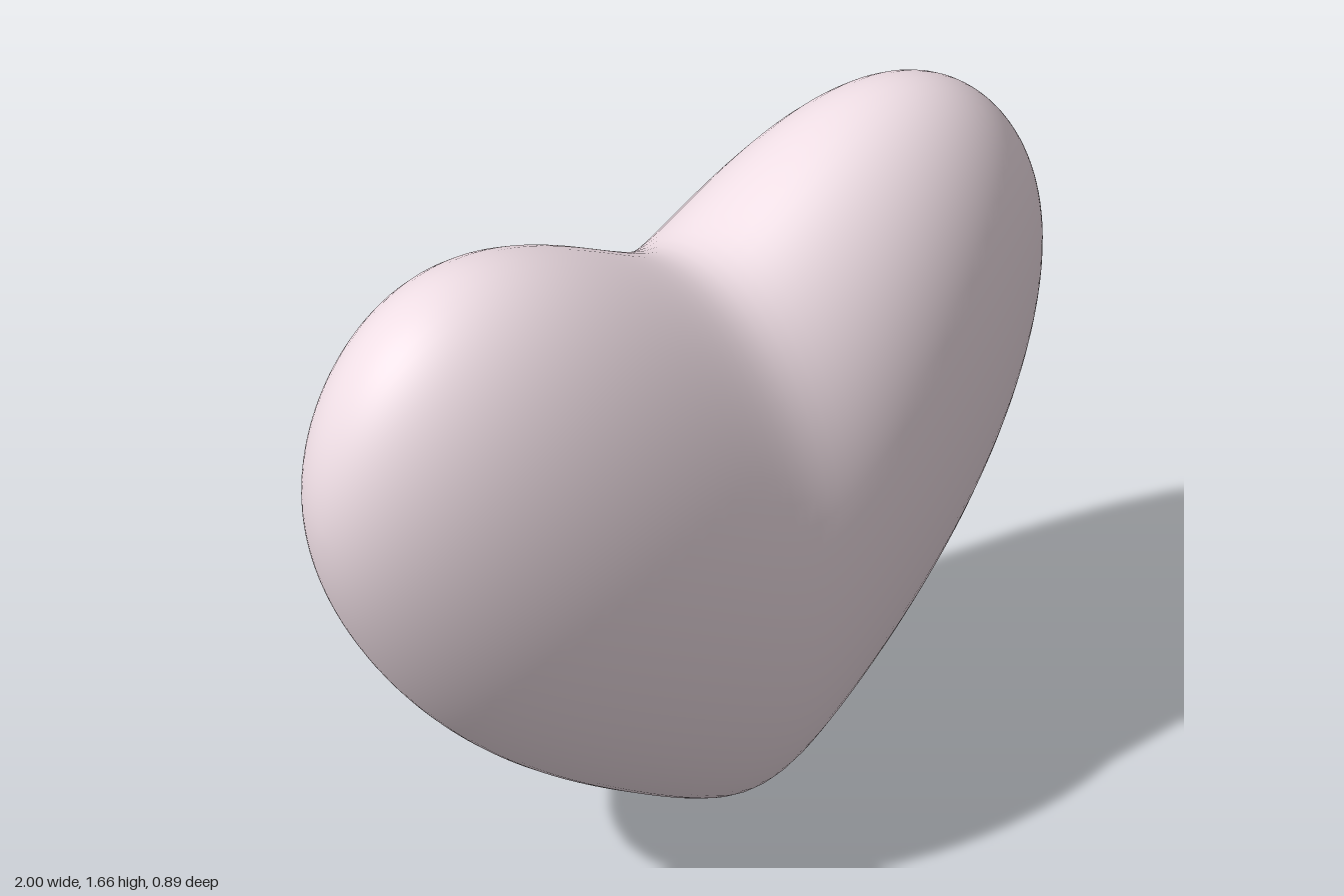
import * as THREE from 'three';
import { mergeVertices } from 'three/addons/utils/BufferGeometryUtils.js';

const HALF_HEIGHT = 0.725;
const HALF_DEPTH = 0.44;
const TURN = -0.055; // the heart is turned slightly about the vertical axis

// Height of the cross-section centre: low in the middle, rising to each lobe
const centre = (x) => 0.649 + 0.76 * Math.sqrt(x * x + 0.01) - 0.22 * x * x;

// Slight extra fullness of the lobes
const fullness = (x) => 1 + 0.32 * x * x * (1 - x * x);

export function createModel() {
  // Unit sphere with its poles on the x axis
  const sphere = new THREE.SphereGeometry(1, 72, 96);
  sphere.rotateZ(Math.PI / 2);
  sphere.deleteAttribute('uv');
  sphere.deleteAttribute('normal');
  const geometry = mergeVertices(sphere, 1e-5);

  // Squash the sphere and lift its sides into a heart
  const p = geometry.attributes.position;
  for (let i = 0; i < p.count; i++) {
    const x = p.getX(i);
    p.setY(i, centre(x) + HALF_HEIGHT * fullness(x) * p.getY(i));
    p.setZ(i, HALF_DEPTH * p.getZ(i));
  }
  geometry.rotateY(TURN);
  geometry.computeVertexNormals();

  const heart = new THREE.Mesh(geometry, new THREE.MeshStandardMaterial({ color: 0xeedde4 }));
  heart.name = 'heart';

  const model = new THREE.Group();
  model.name = 'heartModel';
  model.add(heart);
  return model;
}
